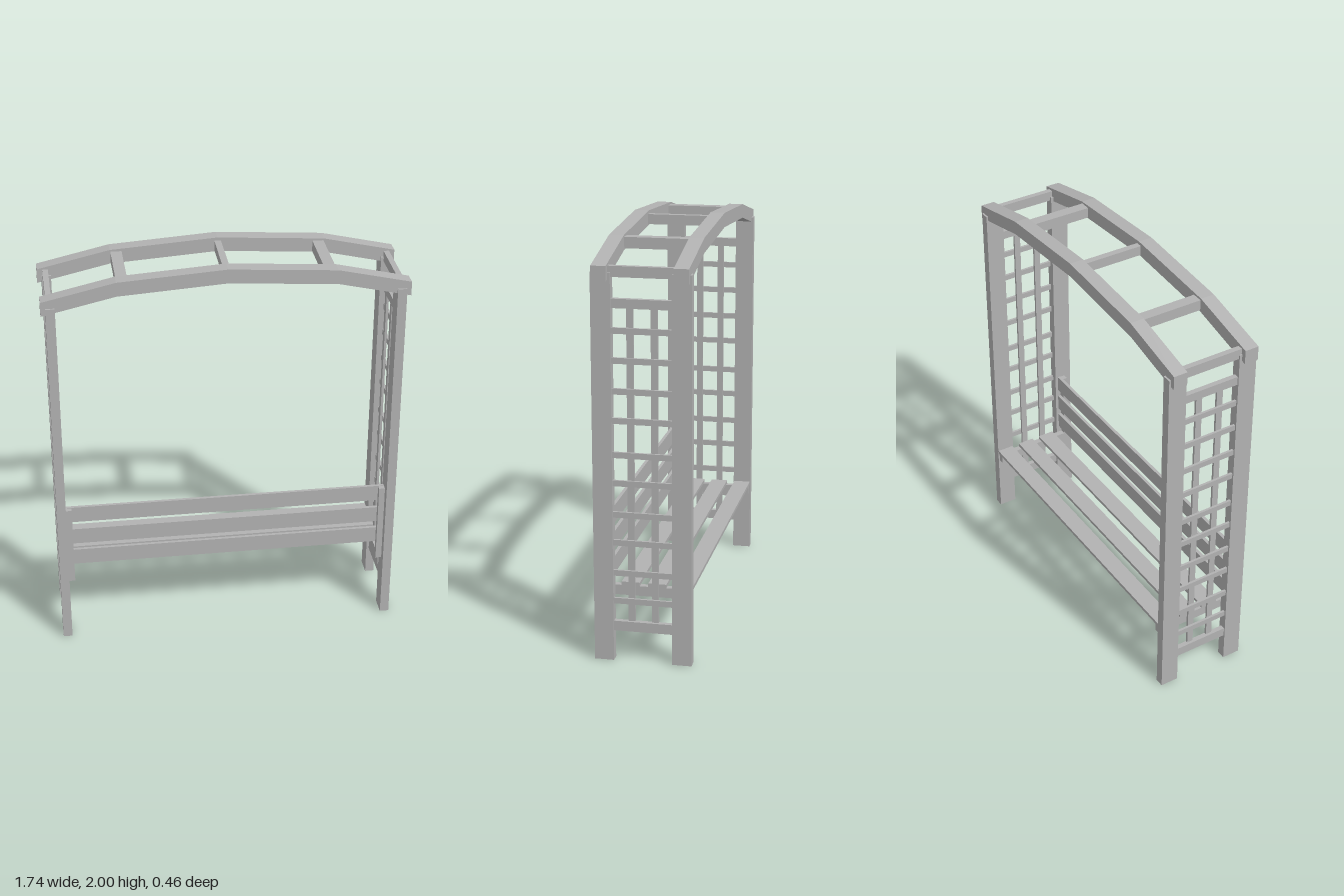
import * as THREE from 'three';

export function createModel() {
  const model = new THREE.Group();
  model.name = 'arborBench';
  const wood = new THREE.MeshStandardMaterial({ color: 0xb2b2b2 });
  wood.name = 'greyWood';

  // Box given by its extents on each axis
  function board(name, x0, x1, y0, y1, z0, z1, parent = model) {
    const mesh = new THREE.Mesh(new THREE.BoxGeometry(x1 - x0, y1 - y0, z1 - z0), wood);
    mesh.name = name;
    mesh.position.set((x0 + x1) / 2, (y0 + y1) / 2, (z0 + z1) / 2);
    parent.add(mesh);
  }

  // The same board on the left and right ends
  function pair(name, x0, x1, y0, y1, z0, z1) {
    board(name + 'Left', x0, x1, y0, y1, z0, z1);
    board(name + 'Right', -x1, -x0, y0, y1, z0, z1);
  }

  // Four corner posts
  pair('frontPost', 0.805, 0.85, 0, 1.853, 0.14, 0.232);
  pair('backPost', 0.805, 0.85, 0, 1.853, -0.232, -0.14);

  // End frames: rails and trellis
  pair('topCrossbar', 0.818, 0.845, 1.832, 1.882, -0.155, 0.155);
  pair('upperRail', 0.818, 0.843, 1.691, 1.734, -0.14, 0.14);
  pair('lowerRail', 0.818, 0.843, 0.148, 0.196, -0.14, 0.14);
  for (const z of [-0.056, 0.056]) {
    pair('trellisUpright', 0.818, 0.83, 0.196, 1.691, z - 0.016, z + 0.016);
  }
  for (const y of [0.297, 0.435, 0.584, 0.72, 0.872, 1.007, 1.169, 1.307, 1.45, 1.588]) {
    pair('trellisRung', 0.83, 0.842, y - 0.014, y + 0.014, -0.14, 0.14);
  }

  // Arched roof beams
  const top = [[-0.872, 1.885], [-0.52, 1.965], [0, 2], [0.52, 1.965], [0.872, 1.885]];
  const outline = [...top, ...top.map(([x, y]) => [x, y - 0.07]).reverse()];
  const arch = new THREE.Shape(outline.map(([x, y]) => new THREE.Vector2(x, y)));
  const archGeometry = new THREE.ExtrudeGeometry(arch, { depth: 0.07, bevelEnabled: false });
  for (const [name, z] of [['frontBeam', 0.153], ['backBeam', -0.223]]) {
    const beam = new THREE.Mesh(archGeometry, wood);
    beam.name = name;
    beam.position.z = z;
    model.add(beam);
  }

  // Roof rungs between the beams
  board('middleRung', -0.016, 0.016, 1.935, 1.984, -0.155, 0.155);
  pair('sideRung', 0.463, 0.517, 1.903, 1.956, -0.155, 0.155);

  // Seat boards on end supports
  pair('seatSupport', 0.775, 0.805, 0.315, 0.363, -0.225, 0.17);
  for (const z of [-0.187, -0.06, 0.067]) {
    board('seatBoard', -0.805, 0.805, 0.363, 0.38, z - 0.043, z + 0.043);
  }

  // Backrest slats on two stiles
  pair('backrestStile', 0.775, 0.805, 0.315, 0.732, 0.17, 0.195);
  for (const y of [0.443, 0.565, 0.692]) {
    board('backrestSlat', -0.805, 0.805, y - 0.042, y + 0.042, 0.154, 0.17);
  }

  return model;
}
